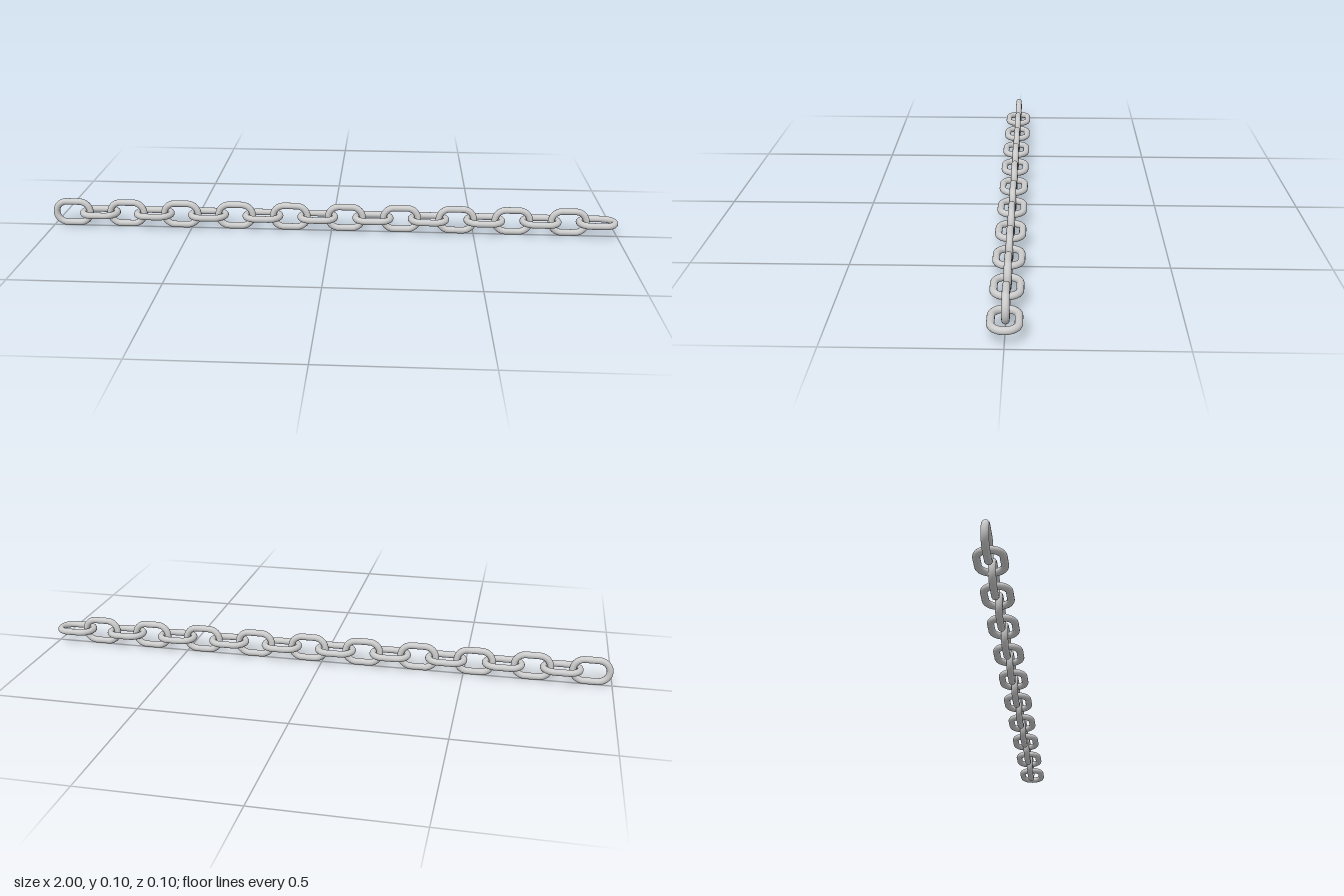
import * as THREE from 'three';

const LINKS = 20;
const LENGTH = 0.145;   // outer length of one link
const WIDTH = 0.1;      // outer width of one link
const WIRE = 0.0114;    // wire radius
const PITCH = (2 - LENGTH) / (LINKS - 1);

// Centre line of a link: two straight sides joined by half circles
class LinkCurve extends THREE.Curve {
  getPoint(t, target = new THREE.Vector3()) {
    const r = WIDTH / 2 - WIRE;
    const half = (LENGTH - WIDTH) / 2;
    const arc = Math.PI * r;
    let s = (t % 1) * 2 * (arc + 2 * half);
    const sign = s < arc + 2 * half ? 1 : -1;
    if (sign < 0) s -= arc + 2 * half;
    if (s < arc) {
      const a = s / r - Math.PI / 2;
      return target.set(sign * (half + r * Math.cos(a)), sign * r * Math.sin(a), 0);
    }
    return target.set(sign * (half - (s - arc)), sign * r, 0);
  }
}

export function createModel() {
  const chain = new THREE.Group();
  chain.name = 'chain';
  const material = new THREE.MeshStandardMaterial({ color: 0xcccccc });
  const geometry = new THREE.TubeGeometry(new LinkCurve(), 64, WIRE, 16, true);

  // Links alternate between upright and flat along the chain
  for (let i = 0; i < LINKS; i++) {
    const flat = i % 2 === 1;
    const link = new THREE.Mesh(geometry, material);
    link.name = `${flat ? 'flatLink' : 'uprightLink'}${i + 1}`;
    link.position.set(-1 + LENGTH / 2 + i * PITCH, WIDTH / 2, 0);
    if (flat) link.rotation.x = Math.PI / 2;
    chain.add(link);
  }
  return chain;
}
